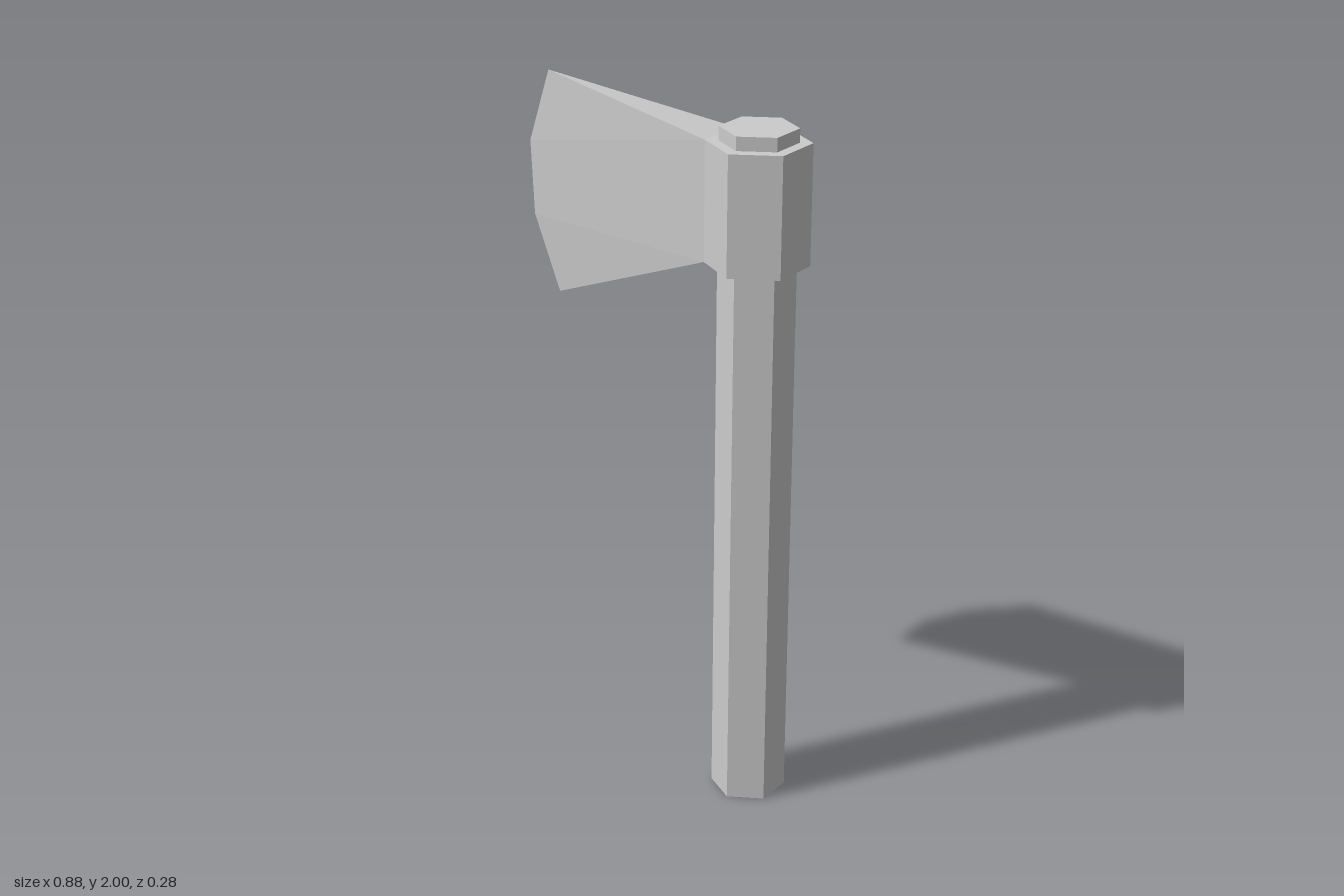
import * as THREE from 'three';

const material = new THREE.MeshStandardMaterial({ color: 0xcccccc, flatShading: true });
const AXIS_X = 0.32; // the handle stands off centre

// Six-sided upright prism with corners pointing to the front and back
function hexPrism(name, radius, bottom, top) {
  const mesh = new THREE.Mesh(new THREE.CylinderGeometry(radius, radius, top - bottom, 6), material);
  mesh.position.set(AXIS_X, (bottom + top) / 2, 0);
  mesh.name = name;
  return mesh;
}

// Wedge from the collar's flat side to a thin cutting edge
function bladeGeometry(rootX, rootHalf, rootBottom, rootTop, edge) {
  const [e0, e1, e2, e3] = edge.map(([x, y]) => [x, y, 0]);
  const positions = [];
  const triangle = (...corners) => positions.push(...corners.flat());

  for (const side of [1, -1]) {
    const top = [rootX, rootTop, side * rootHalf];
    const bottom = [rootX, rootBottom, side * rootHalf];
    const cheek = [[top, e0, e1], [top, e1, bottom], [bottom, e1, e2], [bottom, e2, e3]];
    for (const [a, b, c] of cheek) side > 0 ? triangle(a, b, c) : triangle(a, c, b);
  }
  // Upper and lower slopes
  triangle([rootX, rootTop, rootHalf], [rootX, rootTop, -rootHalf], e0);
  triangle([rootX, rootBottom, -rootHalf], [rootX, rootBottom, rootHalf], e3);

  const geometry = new THREE.BufferGeometry();
  geometry.setAttribute('position', new THREE.Float32BufferAttribute(positions, 3));
  geometry.computeVertexNormals();
  return geometry;
}

export function createModel() {
  const axe = new THREE.Group();
  axe.name = 'axe';

  const collarRadius = 0.14, collarBottom = 1.588, collarTop = 1.922;
  axe.add(hexPrism('handle', 0.105, 0, 1.96));
  axe.add(hexPrism('collar', collarRadius, collarBottom, collarTop));

  // Blade points along the cutting edge, top to bottom
  const edge = [[-0.372, 2], [-0.441, 1.79], [-0.43, 1.578], [-0.345, 1.366]];
  const rootX = AXIS_X - collarRadius * Math.cos(Math.PI / 6);
  const blade = new THREE.Mesh(
    bladeGeometry(rootX, collarRadius / 2, collarBottom, collarTop, edge), material);
  blade.name = 'blade';
  axe.add(blade);

  return axe;
}
